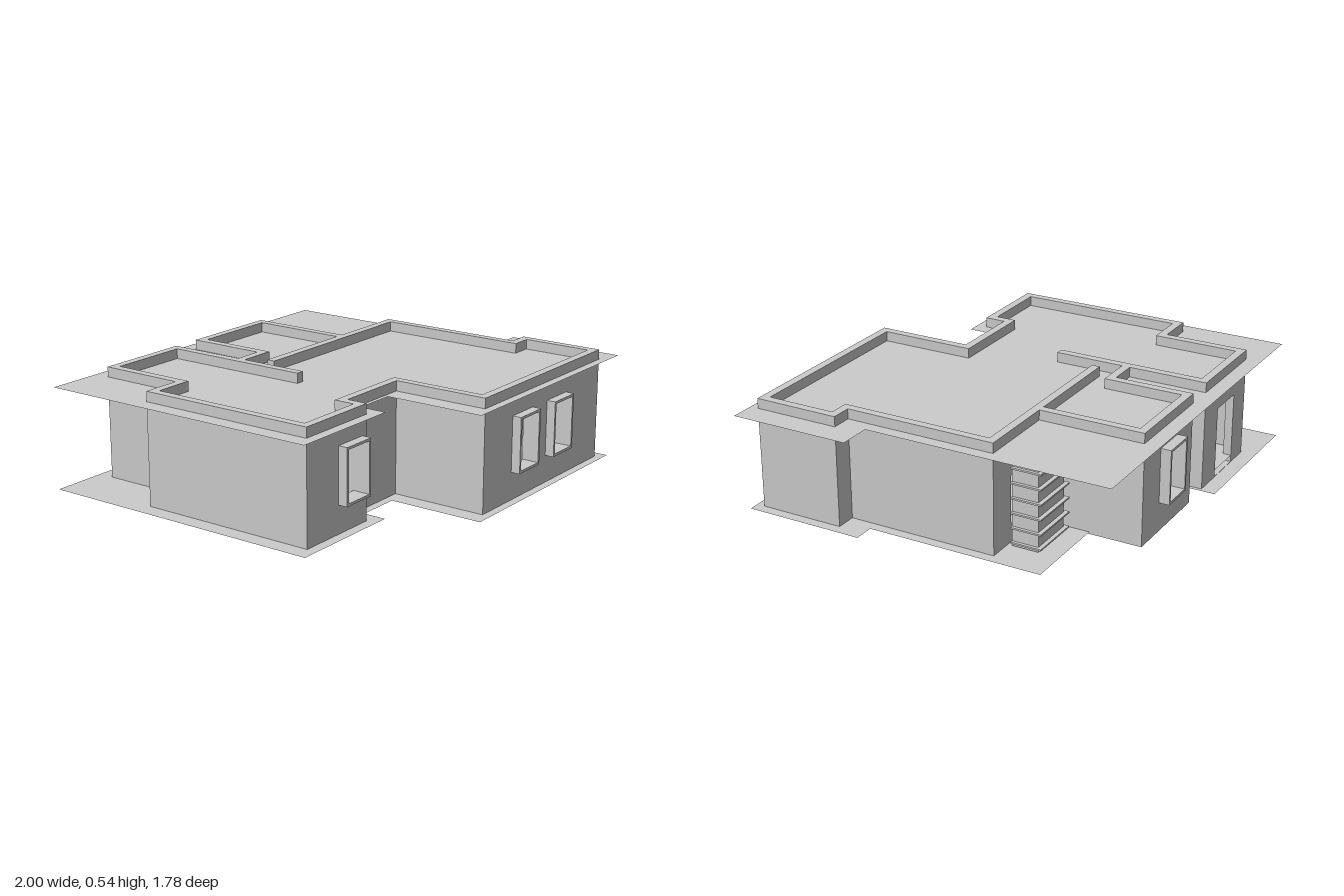
import * as THREE from 'three';

const H = 0.543; // wall height
const T = 0.04; // wall thickness
const solid = new THREE.MeshStandardMaterial({ color: 0xcccccc });
const thin = new THREE.MeshStandardMaterial({ color: 0xcccccc, side: THREE.DoubleSide });

function add(parent, name, geometry, material = solid) {
  const mesh = new THREE.Mesh(geometry, material);
  mesh.name = name;
  parent.add(mesh);
  return mesh;
}

function box(parent, name, x0, x1, y0, y1, z0, z1) {
  const m = add(parent, name, new THREE.BoxGeometry(x1 - x0, y1 - y0, z1 - z0));
  m.position.set((x0 + x1) / 2, (y0 + y1) / 2, (z0 + z1) / 2);
}

function rect(C, [x0, x1, y0, y1]) {
  return new C([[x0, y0], [x1, y0], [x1, y1], [x0, y1]].map(p => new THREE.Vector2(...p)));
}

// Upright panel in the xy plane with rectangular openings, from z0 to z1
function panel(parent, name, outline, openings, z0, z1) {
  const shape = rect(THREE.Shape, outline);
  for (const o of openings) shape.holes.push(rect(THREE.Path, o));
  const g = new THREE.ExtrudeGeometry(shape, { depth: z1 - z0, bevelEnabled: false });
  add(parent, name, g.translate(0, 0, z0));
}

// Thin horizontal sheet from a plan outline of [x, z] points
function sheet(parent, name, points, y) {
  const g = new THREE.ShapeGeometry(new THREE.Shape(points.map(([x, z]) => new THREE.Vector2(x, -z))));
  add(parent, name, g.rotateX(-Math.PI / 2).translate(0, y, 0), thin);
}

// Cabinet with protruding horizontal slats
function slattedUnit(parent, name, x0, x1, z0, z1) {
  const unit = new THREE.Group();
  unit.name = name;
  box(unit, 'unitBody', x0 + 0.015, x1 - 0.015, 0.014, 0.46, z0 + 0.02, z1);
  for (let i = 0; i < 7; i++) {
    const y = 0.03 + i * 0.0715;
    box(unit, 'slat', x0, x1, y, y + 0.008, z0, z1);
  }
  parent.add(unit);
}

export function createModel() {
  const house = new THREE.Group();
  house.name = 'house';

  // Roof sheet, ground slab and indoor floor
  sheet(house, 'roof', [[-1, -0.89], [0.84, -0.89], [0.84, 0.3], [1, 0.3], [1, 0.885],
    [-0.23, 0.885], [-0.23, 0.4], [-0.43, 0.4], [-0.43, 0.53], [-1, 0.53]], 0.495);
  sheet(house, 'groundSlab', [[-1, -0.89], [-0.24, -0.89], [-0.24, -0.56], [0.83, -0.56], [0.83, 0.3],
    [0.93, 0.3], [0.93, 0.885], [-0.22, 0.885], [-0.22, 0.42], [-0.43, 0.42], [-0.43, 0.53], [-1, 0.53]], 0.01);
  sheet(house, 'indoorFloor', [[-0.92, -0.4], [-0.73, -0.4], [-0.73, -0.815], [-0.26, -0.815], [-0.26, -0.43],
    [-0.12, -0.43], [-0.12, -0.815], [0.38, -0.815], [0.38, -0.305], [0.78, -0.305], [0.78, 0.43],
    [0.88, 0.43], [0.88, 0.845], [-0.135, 0.845], [-0.135, 0.38], [-0.5, 0.38], [-0.5, 0.48], [-0.92, 0.48]], 0.045);

  // Walls running along x: x0, x1, outer z, inward direction, openings
  const windows = {
    left: [-0.695, -0.535, 0.148, 0.4],
    middle: [0.105, 0.265, 0.148, 0.4],
    right: [0.405, 0.565, 0.148, 0.4],
    back: [0.045, 0.205, 0.148, 0.4],
  };
  const door = [-0.6, -0.41, 0.012, 0.36];
  const alongX = [
    ['frontLeftWall', -0.92, -0.5, 0.48, -1, [windows.left]],
    ['recessedFrontWall', -0.5 - T, -0.135 + T, 0.38, -1, []],
    ['frontRightWall', -0.135, 0.88, 0.845, -1, [windows.middle, windows.right]],
    ['rightStepWall', 0.78 - T, 0.88, 0.43, 1, []],
    ['mainBackWall', -0.2, 0.78, -0.305, 1, [[0.43, 0.63, 0.1, 0.33]]],
    ['backRoomWall', -0.12, 0.38, -0.815, 1, [windows.back]],
    ['alcoveWall', -0.26, -0.12 + T, -0.43, 1, []],
    ['backDoorWall', -0.73, -0.26, -0.815, 1, [door]],
    ['leftStepWall', -0.92, -0.73 + T, -0.4, 1, []],
  ];
  for (const [name, x0, x1, z, dir, openings] of alongX) {
    panel(house, name, [x0, x1, 0, H], openings, Math.min(z, z + dir * T), Math.max(z, z + dir * T));
  }

  // Walls running along z: x0, z0, z1
  const alongZ = [
    ['leftWall', -0.92, -0.4, 0.48],
    ['leftNotchWall', -0.5 - T, 0.38 - T, 0.48],
    ['rightNotchWall', -0.135, 0.38 - T, 0.845],
    ['frontRightSideWall', 0.88 - T, 0.43, 0.845],
    ['rightWall', 0.78 - T, -0.305, 0.43 + T],
    ['backRoomRightWall', 0.38 - T, -0.815, -0.305],
    ['backRoomLeftWall', -0.12, -0.815, -0.43 + T],
    ['innerWall', -0.26 - T, -0.815, -0.05],
    ['backLeftSideWall', -0.73, -0.815, -0.4 + T],
  ];
  for (const [name, x, z0, z1] of alongZ) box(house, name, x, x + T, 0, H, z0, z1);

  // Thin projecting window surrounds
  const frames = [['left', 0.44, 0.525], ['middle', 0.805, 0.888], ['right', 0.805, 0.888], ['back', -0.865, -0.775]];
  for (const [key, z0, z1] of frames) {
    const [x0, x1, y0, y1] = windows[key];
    const e = 0.006;
    panel(house, key + 'WindowFrame', [x0 - e, x1 + e, y0 - e, y1 + e], [[x0 + e, x1 - e, y0 + e, y1 - e]], z0, z1);
  }

  // Slatted units behind the house
  slattedUnit(house, 'rightSlattedUnit', 0.42, 0.68, -0.48, -0.33);
  slattedUnit(house, 'alcoveSlattedUnit', -0.25, -0.13, -0.58, -0.44);

  return house;
}
